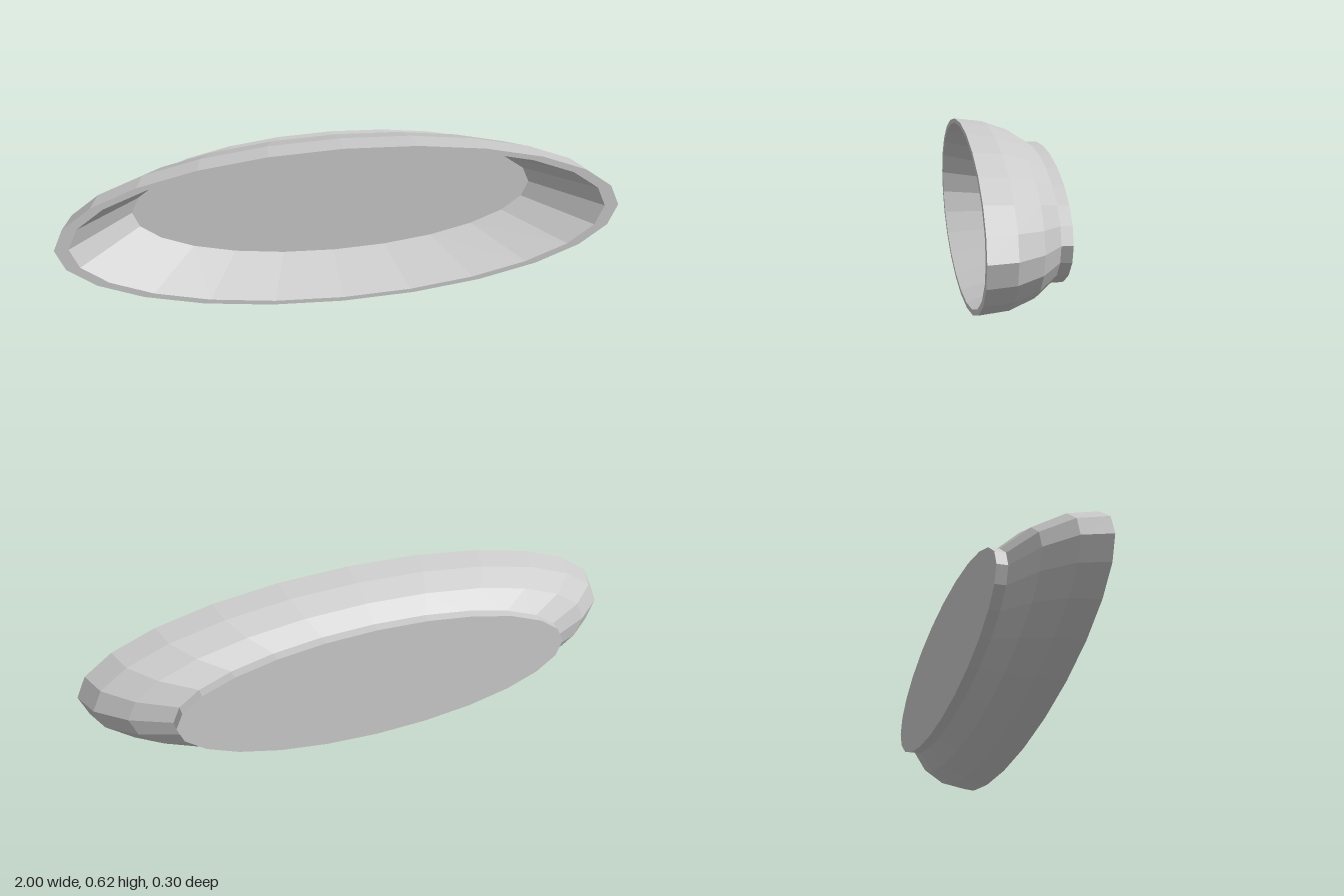
import * as THREE from 'three';

const SIDES = 24;
const HALF_HEIGHT = 0.31; // vertical half-axis; the horizontal one is 1

// Faceted oval ring from a [radius, z] profile, running back to front on the outside
function ovalLathe(name, profile) {
  const points = profile.map(([r, z]) => new THREE.Vector2(r, z));
  const geometry = new THREE.LatheGeometry(points, SIDES);
  geometry.rotateX(Math.PI / 2); // lathe axis becomes z
  geometry.scale(1, HALF_HEIGHT, 1);
  geometry.translate(0, HALF_HEIGHT, 0);
  geometry.computeVertexNormals();
  const material = new THREE.MeshStandardMaterial({ color: 0xcccccc, flatShading: true });
  const mesh = new THREE.Mesh(geometry, material);
  mesh.name = name;
  return mesh;
}

export function createModel() {
  const group = new THREE.Group();
  group.name = 'ovalDish';

  // Rounded outer wall in 15 degree steps, from the back to the rim
  const rimZ = 0.148;
  const depth = 0.378;
  const outer = [45, 30, 15, 0].map((deg) => {
    const a = THREE.MathUtils.degToRad(deg);
    return [Math.cos(a), rimZ - depth * Math.sin(a)];
  });

  // Bowl wall: outer curve, flat rim, straight sloping inside
  const floorR = 0.727;
  const floorZ = -0.068;
  group.add(ovalLathe('bowlWall', [...outer, [0.95, rimZ], [floorR, floorZ]]));

  // Base disc: its front face is the bowl floor, its back stands out as a foot
  group.add(ovalLathe('base', [[0, -rimZ], [floorR, -rimZ], [floorR, floorZ], [0, floorZ]]));

  return group;
}
